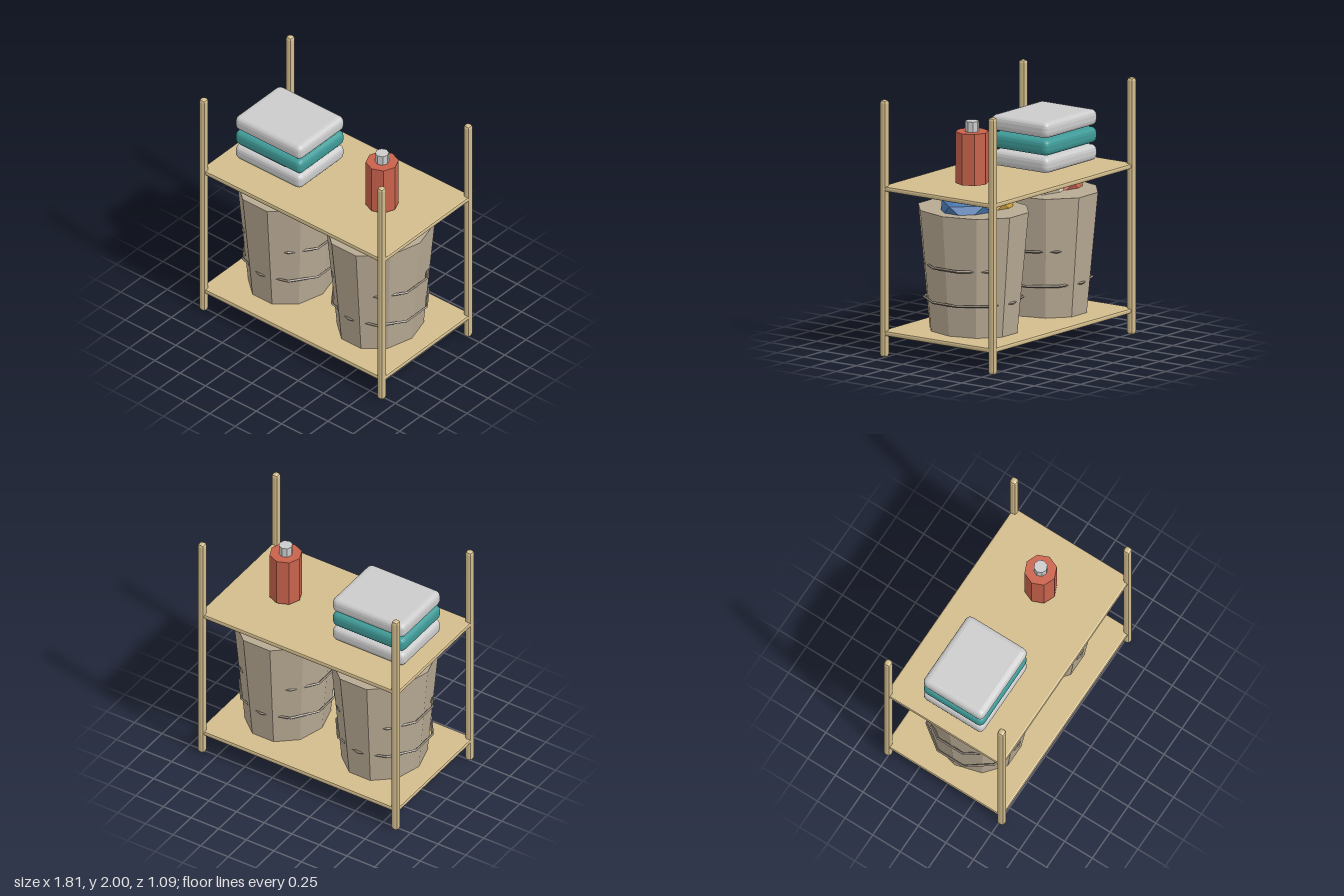
import * as THREE from 'three';
import { RoundedBoxGeometry } from 'three/addons/geometries/RoundedBoxGeometry.js';

const material = (color) => new THREE.MeshStandardMaterial({ color, flatShading: true });
const wood = material(0xd2bc8c);
const canvas = material(0xb8aa94);
const band = material(0x8a8072);
const grey = material(0xcccccc);
const teal = material(0x3f9a97);
const red = material(0xc8624c);
const cream = material(0xd8ccb6);
const blue = material(0x4a78b0);
const yellow = material(0xd0a23c);

export function createModel() {
  const model = new THREE.Group();

  function add(parent, name, geometry, mat, x, y, z) {
    const mesh = new THREE.Mesh(geometry, mat);
    mesh.name = name;
    mesh.position.set(x, y, z);
    parent.add(mesh);
    return mesh;
  }

  // corner posts
  const postGeometry = new RoundedBoxGeometry(0.06, 2, 0.06, 1, 0.022);
  for (const x of [-0.877, 0.877])
    for (const z of [-0.514, 0.514]) add(model, 'post', postGeometry, wood, x, 1, z);

  // shelves
  const shelfGeometry = new RoundedBoxGeometry(1.8, 0.04, 1.06, 1, 0.014);
  add(model, 'lowerShelf', shelfGeometry, wood, 0, 0.187, 0);
  add(model, 'upperShelf', shelfGeometry, wood, 0, 1.311, 0);

  // tapered ten-sided basket with two hoops that show through its sides
  const basketGeometry = new THREE.CylinderGeometry(0.39, 0.31, 0.95, 10, 1, false, Math.PI / 2);
  basketGeometry.scale(1, 1, 1.17);
  const hoopGeometry = new THREE.TorusGeometry(0.376, 0.011, 4, 10);
  hoopGeometry.rotateZ(Math.PI / 2).rotateX(Math.PI / 2);

  // crumpled cloth: flattened icosahedron standing on one corner
  const clothGeometry = new THREE.IcosahedronGeometry(1, 0);
  clothGeometry.rotateX(-Math.atan((1 + Math.sqrt(5)) / 2)).rotateY(Math.PI / 2);
  function addCloth(parent, mat, x, z, size) {
    add(parent, 'cloth', clothGeometry, mat, x, 1.155, z).scale.set(...size);
  }

  function addBasket(x, topCloth, sideCloth) {
    const basket = new THREE.Group();
    basket.name = 'laundryBasket';
    basket.position.x = x;
    add(basket, 'basketBody', basketGeometry, canvas, 0, 0.675, 0);
    for (const y of [0.46, 0.73]) add(basket, 'basketHoop', hoopGeometry, band, 0, y, 0);
    addCloth(basket, topCloth, 0.055, 0, [0.28, 0.125, 0.235]);
    addCloth(basket, sideCloth, -0.14, -0.09, [0.19, 0.088, 0.16]);
    model.add(basket);
  }
  addBasket(-0.44, cream, red);
  addBasket(0.437, blue, yellow);

  // stack of folded towels
  const towelGeometry = new RoundedBoxGeometry(0.655, 0.125, 0.545, 2, 0.045);
  [grey, teal, grey].forEach((mat, i) =>
    add(model, 'foldedTowel', towelGeometry, mat, -0.457, 1.404 + i * 0.136, 0));

  // bottle and cap
  add(model, 'bottle', new THREE.CylinderGeometry(0.126, 0.126, 0.4, 8), red, 0.455, 1.55, 0);
  add(model, 'bottleCap', new THREE.CylinderGeometry(0.053, 0.053, 0.08, 8), grey, 0.455, 1.79, 0);

  return model;
}
